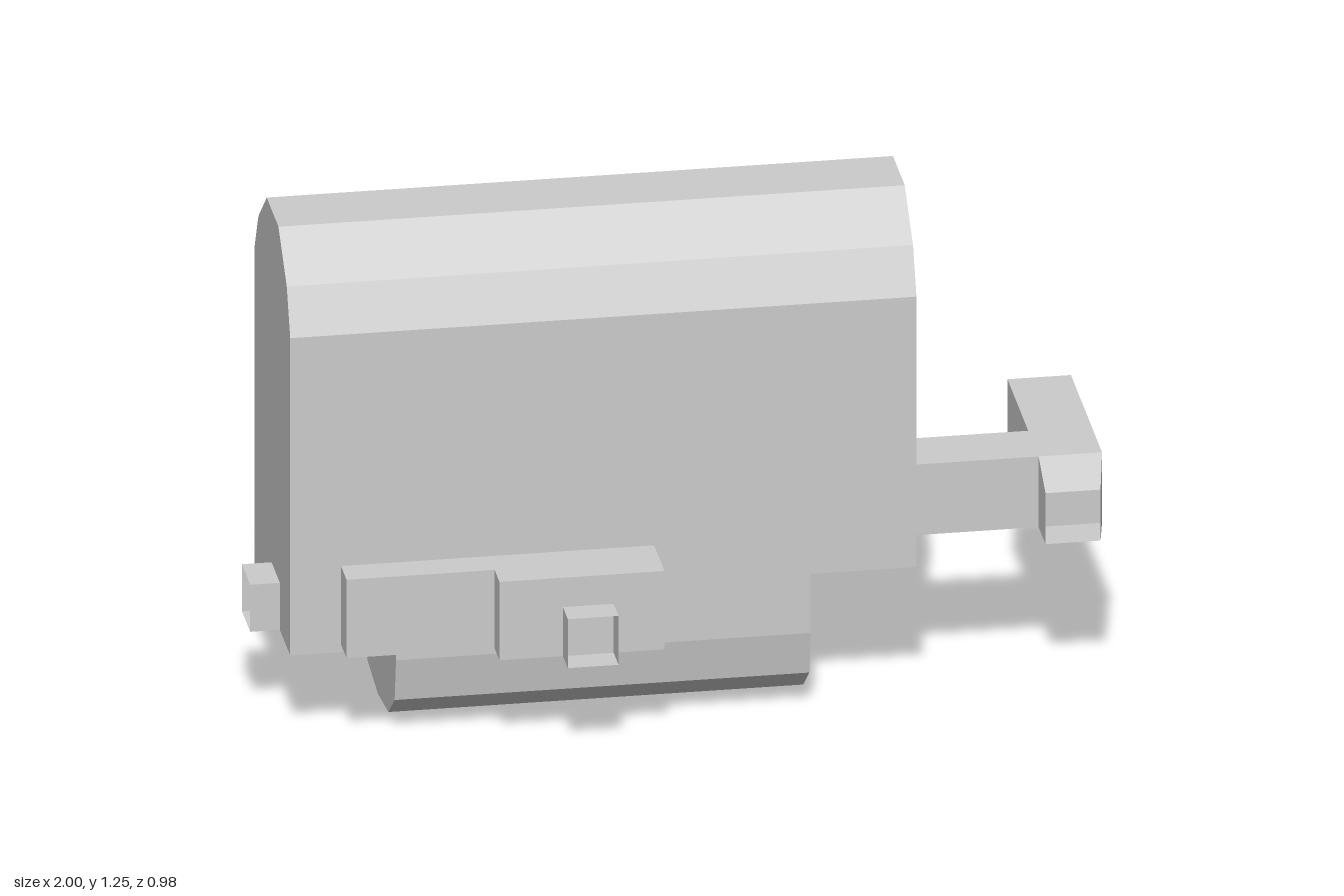
import * as THREE from 'three';

const material = new THREE.MeshStandardMaterial({ color: 0xcccccc, flatShading: true });
const openMaterial = new THREE.MeshStandardMaterial({ color: 0xcccccc, flatShading: true, side: THREE.DoubleSide });

// Half outlines of the body section as [z, y]
const roof = [[0.27, 1.04], [0.22, 1.15], [0.1, 1.25], [-0.07, 1.25], [-0.19, 1.15], [-0.25, 1.04]];
const keel = [[-0.25, 0.2], [-0.23, 0.09], [-0.14, 0.02], [0.01, 0], [0.16, 0.02], [0.25, 0.09], [0.27, 0.2]];
const flatBase = (y) => [[-0.25, y], [0.27, y]];

export function createModel() {
  const model = new THREE.Group();

  const add = (name, geometry, mat = material) => {
    const mesh = new THREE.Mesh(geometry, mat);
    mesh.name = name;
    model.add(mesh);
    return mesh;
  };

  // Box given by its limits on each axis
  const boxGeometry = ([x0, x1], [y0, y1], [z0, z1]) =>
    new THREE.BoxGeometry(x1 - x0, y1 - y0, z1 - z0)
      .translate((x0 + x1) / 2, (y0 + y1) / 2, (z0 + z1) / 2);

  // Removes one box face (order: +x, -x, +y, -y, +z, -z)
  const openFace = (geometry, face) => {
    const index = Array.from(geometry.index.array);
    index.splice(face * 6, 6);
    geometry.setIndex(index);
    geometry.clearGroups();
    return geometry;
  };

  // Section extruded along x
  const bodySection = (name, x0, x1, base) => {
    const shape = new THREE.Shape([...roof, ...base].map(([z, y]) => new THREE.Vector2(-z, y)));
    const geometry = new THREE.ExtrudeGeometry(shape, { depth: x1 - x0, bevelEnabled: false });
    add(name, geometry.rotateY(Math.PI / 2).translate(x0, 0, 0));
  };

  // Body: rounded keel in the middle, flat bases at both ends
  bodySection('bodyRightEnd', -0.93, -0.68, flatBase(0.23));
  bodySection('bodyMiddle', -0.68, 0.3, keel);
  bodySection('bodyLeftEnd', 0.3, 0.55, flatBase(0.35));

  // Box on the back
  add('backBox', boxGeometry([-0.26, 0.55], [0.35, 0.95], [-0.49, -0.24]));

  // Stepped blocks on the front with an open socket
  add('frontBlockThin', boxGeometry([-0.81, -0.46], [0.25, 0.45], [0.2, 0.35]));
  add('frontBlockThick', boxGeometry([-0.46, -0.07], [0.25, 0.45], [0.2, 0.42]));
  add('frontSocket', openFace(boxGeometry([-0.31, -0.19], [0.25, 0.375], [0.42, 0.49]), 4), openMaterial);

  // Open lug on the right end
  add('sideLug', openFace(boxGeometry([-1, -0.93], [0.23, 0.35], [0, 0.12]), 1), openMaterial);

  // Handle: arm, crossbar and tapered open tip
  add('handleArm', boxGeometry([0.55, 0.85], [0.4, 0.58], [0.05, 0.2]));
  add('handleBar', boxGeometry([0.85, 1], [0.4, 0.58], [-0.25, 0.2]));
  const tip = boxGeometry([0.85, 1], [0.4, 0.58], [0.2, 0.3]);
  const p = tip.attributes.position;
  for (let i = 0; i < p.count; i++) {
    if (p.getZ(i) < 0.25) continue;
    if (p.getX(i) > 0.9) p.setX(i, 0.98);
    if (p.getY(i) > 0.5) p.setY(i, 0.53);
  }
  tip.computeVertexNormals();
  add('handleTip', openFace(tip, 4), openMaterial);

  return model;
}
